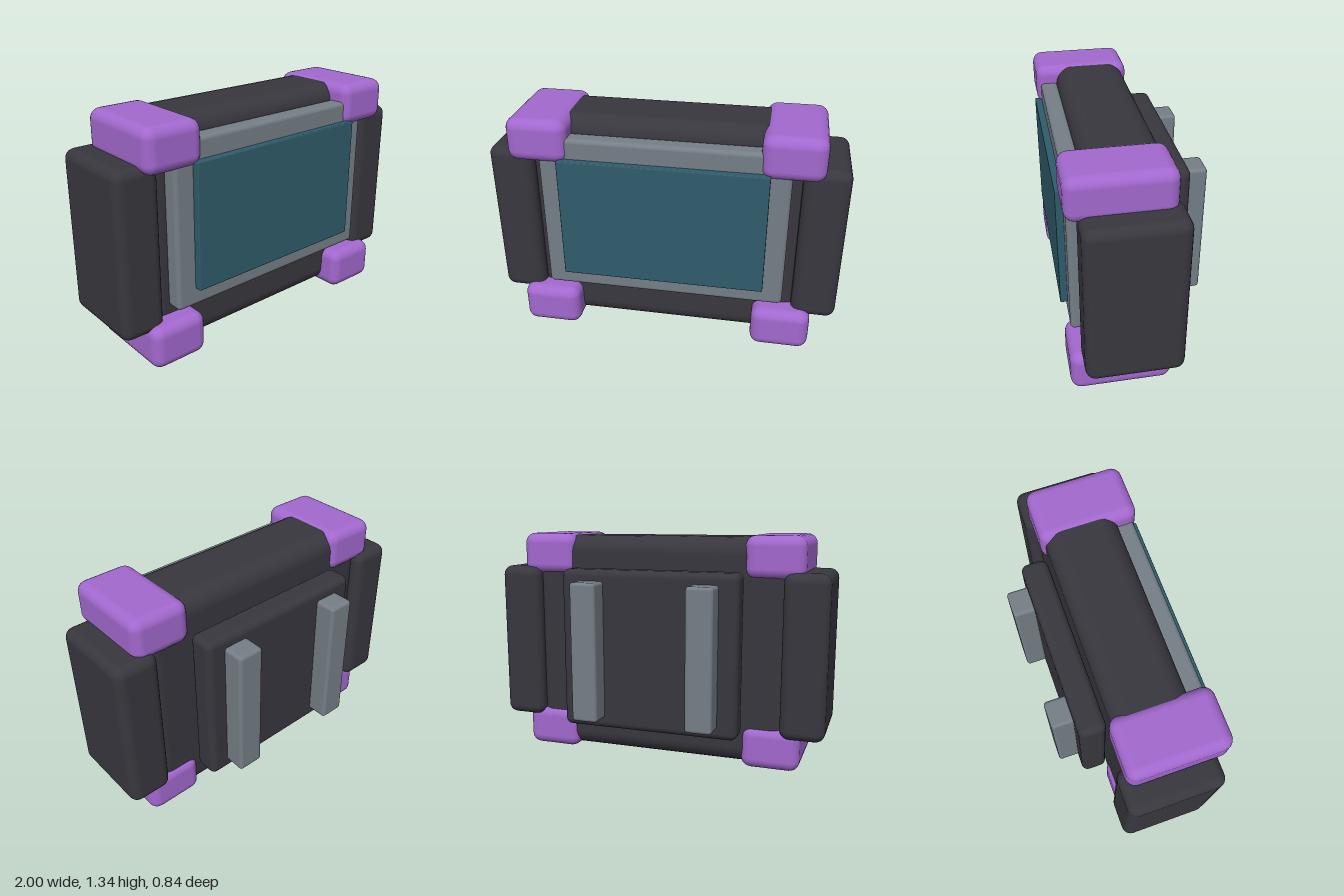
import * as THREE from 'three';
import { RoundedBoxGeometry } from 'three/addons/geometries/RoundedBoxGeometry.js';

function material(name, color) {
  const m = new THREE.MeshStandardMaterial({ color });
  m.name = name;
  return m;
}

export function createModel() {
  const group = new THREE.Group();
  const dark = material('charcoal', 0x38373e);
  const purple = material('purple', 0xa268ce);
  const grey = material('grey', 0x757e86);
  const teal = material('teal', 0x2f5c6b);

  // Rounded block given by its min and max on each axis
  function block(name, mat, [x0, x1], [y0, y1], [z0, z1], radius) {
    const geometry = new RoundedBoxGeometry(x1 - x0, y1 - y0, z1 - z0, 3, radius);
    const mesh = new THREE.Mesh(geometry, mat);
    mesh.position.set((x0 + x1) / 2, (y0 + y1) / 2, (z0 + z1) / 2);
    mesh.name = name;
    group.add(mesh);
  }

  // Main housing with its display on the front and a panel on the back
  block('body', dark, [-0.8, 0.8], [0.015, 1.33], [-0.135, 0.285], 0.1);
  block('screenFrame', grey, [-0.69, 0.69], [0.3, 1.24], [0.275, 0.38], 0.025);
  block('screen', teal, [-0.577, 0.577], [0.405, 1.125], [0.37, 0.42], 0.006);
  block('backPanel', dark, [-0.53, 0.53], [0.2, 1.14], [-0.3, -0.146], 0.04);

  // Paired parts: side grips, back rails and corner bumpers
  for (const side of [1, -1]) {
    const label = side > 0 ? 'left' : 'right';
    const span = (a, b) => (side > 0 ? [a, b] : [-b, -a]);
    block(label + 'Grip', dark, span(0.745, 1), [0.2, 1.14], [-0.192, 0.34], 0.055);
    block(label + 'BackRail', grey, span(0.264, 0.42), [0.265, 1.075], [-0.422, -0.28], 0.02);
    block(label + 'TopBumper', purple, span(0.52, 0.86), [1.095, 1.34], [-0.157, 0.405], 0.06);
    block(label + 'BottomBumper', purple, span(0.52, 0.86), [0, 0.25], [-0.157, 0.405], 0.06);
  }

  return group;
}
